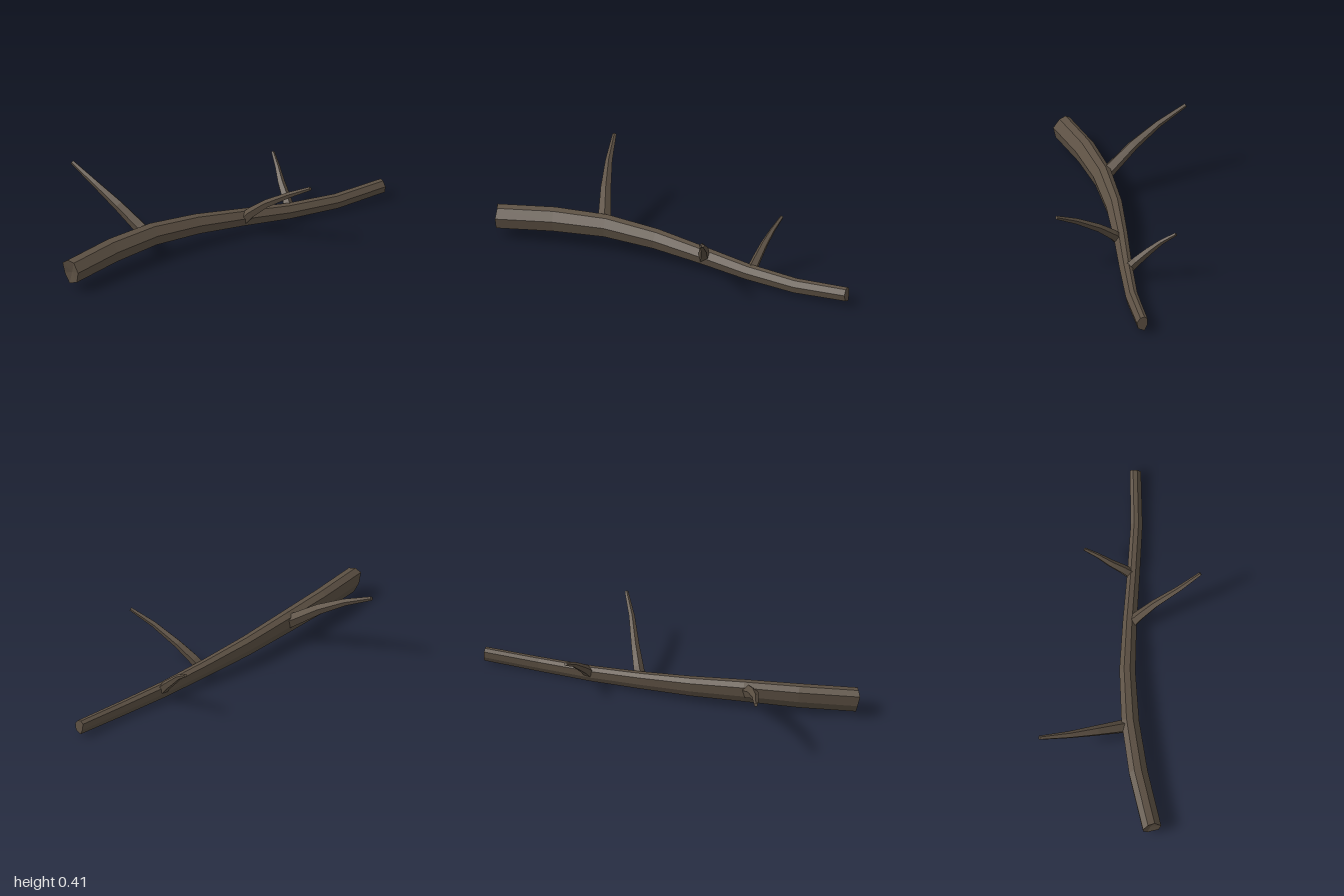
import * as THREE from 'three';

// Sweep a small cross-section along stations [x, y, z, scale], capped at both ends.
function sweep(stations, profile, startInset = 0, startJitter = []) {
  const points = stations.map(([x, y, z]) => new THREE.Vector3(x, y, z));
  const n = profile.length, last = points.length - 1;
  const pos = [], index = [];
  points.forEach((p, i) => {
    const t = points[Math.min(i + 1, last)].clone().sub(points[Math.max(i - 1, 0)]).normalize();
    const side = t.clone().cross(new THREE.Vector3(0, 1, 0)).normalize();
    const up = side.clone().cross(t);
    profile.forEach(([a, b], j) => {
      const v = p.clone().addScaledVector(side, a * stations[i][3]).addScaledVector(up, b * stations[i][3]);
      if (i === 0) v.addScaledVector(t, startJitter[j] || 0);
      pos.push(v.x, v.y, v.z);
    });
  });
  for (let i = 0; i < last; i++) {
    for (let j = 0; j < n; j++) {
      const a = i * n + j, b = i * n + (j + 1) % n;
      index.push(a, a + n, b, b, a + n, b + n);
    }
  }
  // End caps as fans around a centre point
  const c = pos.length / 3;
  const t0 = points[1].clone().sub(points[0]).normalize();
  const first = points[0].clone().addScaledVector(t0, startInset);
  pos.push(first.x, first.y, first.z, ...points[last].toArray());
  for (let j = 0; j < n; j++) {
    const k = (j + 1) % n;
    index.push(c, j, k, c + 1, last * n + k, last * n + j);
  }
  const g = new THREE.BufferGeometry();
  g.setAttribute('position', new THREE.Float32BufferAttribute(pos, 3));
  g.setIndex(index);
  const flat = g.toNonIndexed();
  flat.computeVertexNormals();
  return flat;
}

export function createModel() {
  const group = new THREE.Group();
  const bark = new THREE.MeshStandardMaterial({ color: 0x5c5043, flatShading: true });
  bark.name = 'bark';

  const add = (name, geometry) => {
    const mesh = new THREE.Mesh(geometry, bark);
    mesh.name = name;
    group.add(mesh);
  };

  // Main branch: uneven seven-sided section, thicker at the broken left end
  const section = [[0.032, 0.008], [0.012, 0.035], [-0.01, 0.04], [-0.027, 0.028],
    [-0.025, -0.009], [-0.01, -0.041], [0.025, -0.026]];
  add('mainBranch', sweep([
    [-0.98, 0.103, 0.085, 1.68],
    [-0.68, 0.12, 0.041, 1.68],
    [-0.4, 0.126, 0.024, 1.56],
    [-0.12, 0.108, 0.034, 1.4],
    [0.15, 0.082, 0.069, 1.22],
    [0.42, 0.056, 0.112, 1.1],
    [0.7, 0.047, 0.153, 1.03],
    [0.99, 0.06, 0.172, 0.97],
  ], section, 0.012, [0, 0.006, 0, -0.01, 0, 0.006, 0]));

  // Side twigs: five-sided, tapering
  const pentagon = Array.from({ length: 5 }, (_, i) => {
    const a = (i / 5) * Math.PI * 2 + 0.3;
    return [Math.cos(a), Math.sin(a)];
  });
  add('longBackTwig', sweep([
    [-0.415, 0.12, 0.025, 0.038],
    [-0.435, 0.165, -0.04, 0.034],
    [-0.475, 0.25, -0.157, 0.028],
    [-0.515, 0.333, -0.3, 0.019],
    [-0.545, 0.407, -0.455, 0.011],
  ], pentagon));
  add('frontTwig', sweep([
    [0.16, 0.08, 0.08, 0.031],
    [0.178, 0.125, 0.12, 0.028],
    [0.21, 0.197, 0.205, 0.022],
    [0.252, 0.28, 0.335, 0.016],
    [0.302, 0.346, 0.452, 0.01],
  ], pentagon));
  add('shortBackTwig', sweep([
    [0.435, 0.07, 0.1, 0.028],
    [0.447, 0.115, 0.06, 0.025],
    [0.463, 0.173, 0.0, 0.02],
    [0.486, 0.231, -0.06, 0.014],
    [0.511, 0.281, -0.13, 0.009],
  ], pentagon));

  return group;
}
